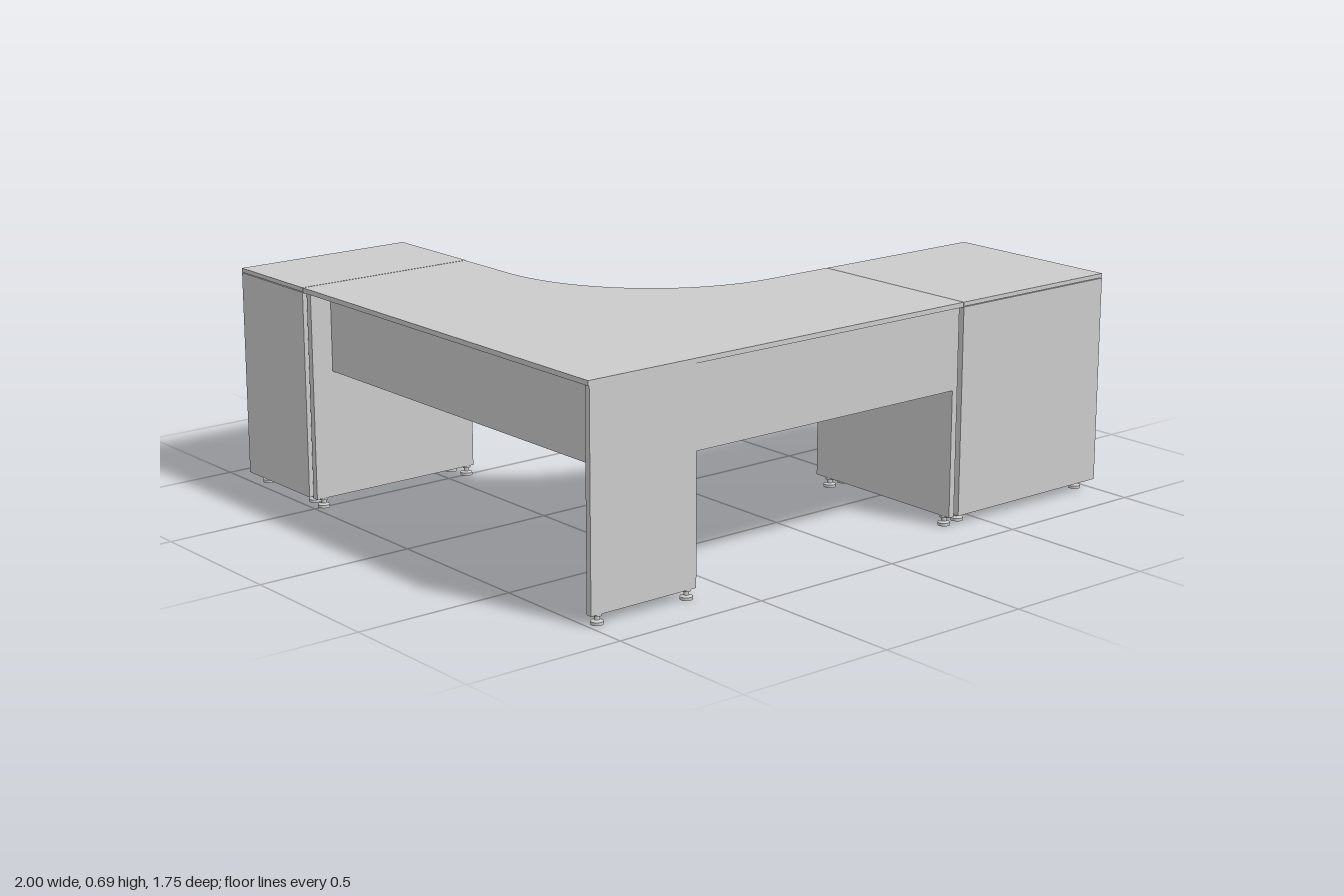
import * as THREE from 'three';

const MAT = new THREE.MeshStandardMaterial({ color: 0xcccccc });
const TOP = 0.69, SLAB = 0.015, BASE = 0.03, UNDER = TOP - SLAB, T = 0.016;

function add(parent, name, geometry) {
  const mesh = new THREE.Mesh(geometry, MAT);
  mesh.name = name;
  parent.add(mesh);
  return mesh;
}

// Box given by its limits on each axis
function panel(parent, name, x0, x1, y0, y1, z0, z1) {
  const mesh = add(parent, name, new THREE.BoxGeometry(x1 - x0, y1 - y0, z1 - z0));
  mesh.position.set((x0 + x1) / 2, (y0 + y1) / 2, (z0 + z1) / 2);
  return mesh;
}

// Levelling foot: wide pad, thin stem, collar
function foot(parent, x, z) {
  const profile = [[0, 0], [0.019, 0], [0.019, 0.009], [0.008, 0.013], [0.008, 0.024], [0.013, 0.024], [0.013, BASE], [0, BASE]];
  const mesh = add(parent, 'foot', new THREE.LatheGeometry(profile.map(p => new THREE.Vector2(...p)), 16));
  mesh.geometry = mesh.geometry.toNonIndexed();
  mesh.geometry.computeVertexNormals();
  mesh.position.set(x, 0, z);
}

// Bowed pull handle, lying along x and standing out along +z
function handle(parent, x, y, z, upright) {
  const h = 0.07;
  const s = new THREE.Shape();
  s.moveTo(-h, 0);
  s.lineTo(-h, 0.014);
  s.quadraticCurveTo(0, 0.028, h, 0.014);
  s.lineTo(h, 0);
  s.lineTo(h - 0.006, 0);
  s.lineTo(h - 0.006, 0.01);
  s.quadraticCurveTo(0, 0.022, -h + 0.006, 0.01);
  s.lineTo(-h + 0.006, 0);
  const geo = new THREE.ExtrudeGeometry(s, { depth: 0.014, bevelEnabled: false, curveSegments: 12 });
  geo.translate(0, 0, -0.007);
  geo.rotateX(Math.PI / 2);
  if (upright) geo.rotateZ(Math.PI / 2);
  add(parent, 'handle', geo).position.set(x, y, z);
}

// Cabinet carcass facing local +z, centred on its footprint
function cabinet(name, w, d) {
  const g = new THREE.Group();
  g.name = name;
  const x = w / 2, z = d / 2;
  panel(g, 'cabinetTop', -x, x, UNDER + 0.002, TOP, -z, z);
  for (const s of [-1, 1]) {
    const c = s * (x - T / 2);
    panel(g, 'cabinetSide', c - T / 2, c + T / 2, BASE, UNDER, -z, z);
    for (const f of [-1, 1]) foot(g, s * (x - 0.04), f * (z - 0.045));
  }
  panel(g, 'cabinetBack', -x + T, x - T, BASE, UNDER, -z, -z + T);
  panel(g, 'cabinetBottom', -x + T, x - T, BASE + 0.002, BASE + T, -z + T, z);
  panel(g, 'cabinetRail', -x + T, x - T, UNDER - T, UNDER + 0.002, -z + T, z);
  panel(g, 'cabinetInner', -x + T, x - T, BASE + T, UNDER - T, z - 0.03, z - 0.01);
  return g;
}

export function createModel() {
  const model = new THREE.Group();
  model.name = 'cornerDesk';

  // Worktop with the concave inner corner
  const s = new THREE.Shape();
  s.moveTo(-1, -0.525);
  s.lineTo(-0.403, -0.525);
  s.lineTo(-0.403, -0.3);
  s.absarc(0.167, -0.295, 0.57, Math.PI, Math.PI / 2, true);
  s.lineTo(0.397, 0.275);
  s.lineTo(0.397, 0.87);
  s.lineTo(-1, 0.87);
  const top = new THREE.ExtrudeGeometry(s, { depth: SLAB, bevelEnabled: false, curveSegments: 32 });
  top.rotateX(Math.PI / 2);
  top.translate(0, TOP, 0);
  add(model, 'worktop', top);

  // Panel legs and their feet
  panel(model, 'cornerLeg', -0.995, -0.625, BASE, UNDER, 0.849, 0.868);
  panel(model, 'backLeg', -0.995, -0.41, BASE, UNDER, -0.513, -0.492);
  panel(model, 'sideLeg', 0.365, 0.385, BASE, UNDER, 0.28, 0.866);
  for (const [x, z] of [[-0.965, 0.855], [-0.65, 0.855], [-0.965, -0.503], [-0.43, -0.503], [0.375, 0.835], [0.375, 0.33]]) foot(model, x, z);

  // Modesty panels
  panel(model, 'frontModestyPanel', -0.625, 0.365, 0.425, UNDER, 0.849, 0.866);
  panel(model, 'sideModestyPanel', -0.925, -0.905, 0.425, UNDER, -0.492, 0.849);

  // Drawer cabinet, opening towards the inner side
  const drawers = cabinet('drawerCabinet', 0.6, 0.593);
  const rows = [[0.057, 0.347, 0.285], [0.351, 0.502, 0.43], [0.506, 0.657, 0.585]];
  for (const [y0, y1, hy] of rows) {
    panel(drawers, 'drawerFront', -0.282, 0.282, y0, y1, 0.29, 0.308);
    handle(drawers, 0, hy, 0.308, false);
  }
  drawers.position.set(0.7, 0, 0.5735);
  drawers.rotation.y = Math.PI;
  model.add(drawers);

  // Cupboard with a single door
  const cupboard = cabinet('cupboard', 0.348, 0.6);
  panel(cupboard, 'door', -0.154, 0.154, 0.053, 0.658, 0.292, 0.31);
  handle(cupboard, 0.104, 0.355, 0.31, true);
  cupboard.position.set(-0.7, 0, -0.702);
  cupboard.rotation.y = Math.PI / 2;
  model.add(cupboard);

  return model;
}
